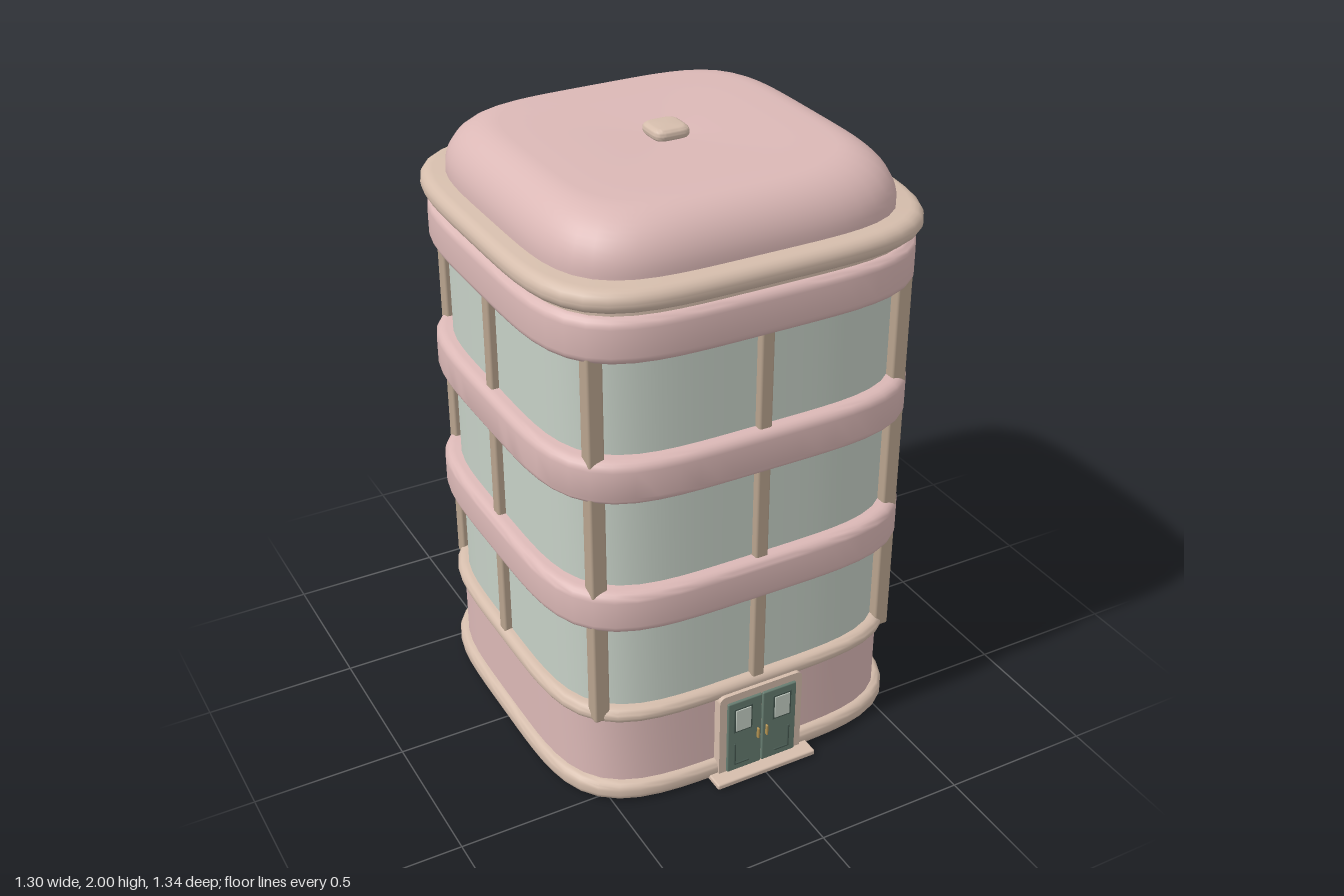
import * as THREE from 'three';
import { toCreasedNormals } from 'three/addons/utils/BufferGeometryUtils.js';
import { RoundedBoxGeometry } from 'three/addons/geometries/RoundedBoxGeometry.js';

const mat = (color) => new THREE.MeshStandardMaterial({ color });
const pink = mat(0xdbb8b6);
const cream = mat(0xd5bdac);
const bronze = mat(0xb8a38e);
const glass = mat(0xc6d0c6);
const doorGreen = mat(0x667c70);
const darkGreen = mat(0x465850);
const brass = mat(0xb09050);

const SQUARENESS = 4.4; // exponent of the soft-cornered plan

// Sweeps a [half width, height] profile around the soft square plan
function plan(name, profile, material, parent) {
  const geo = new THREE.LatheGeometry(profile.map(([r, y]) => new THREE.Vector2(r, y)), 72);
  const p = geo.attributes.position;
  for (let i = 0; i < p.count; i++) {
    const x = p.getX(i), z = p.getZ(i), r = Math.hypot(x, z);
    if (r < 1e-6) continue;
    const k = (Math.abs(x / r) ** SQUARENESS + Math.abs(z / r) ** SQUARENESS) ** (-1 / SQUARENESS);
    p.setX(i, x * k);
    p.setZ(i, z * k);
  }
  const mesh = new THREE.Mesh(toCreasedNormals(geo, 0.7), material);
  mesh.name = name;
  parent.add(mesh);
  return mesh;
}

// Closed slab profile with rounded upper and lower edges
function slab(half, y0, y1, fillet) {
  const pts = [[0, y0]];
  for (const [cy, start] of [[y0 + fillet, -Math.PI / 2], [y1 - fillet, 0]]) {
    for (let i = 0; i <= 5; i++) {
      const a = start + (i / 5) * Math.PI / 2;
      pts.push([half - fillet + fillet * Math.cos(a), cy + fillet * Math.sin(a)]);
    }
  }
  pts.push([0, y1]);
  return pts;
}

function box(name, size, pos, material, parent, radius = 0.004) {
  const mesh = new THREE.Mesh(new RoundedBoxGeometry(...size, 2, radius), material);
  mesh.name = name;
  mesh.position.set(...pos);
  parent.add(mesh);
  return mesh;
}

export function createModel() {
  const model = new THREE.Group();
  model.name = 'towerBuilding';
  const tower = new THREE.Group();
  tower.name = 'tower';
  tower.position.z = -0.02;
  model.add(tower);

  // Ground floor and its trims
  plan('baseTrim', slab(0.628, 0, 0.068, 0.026), cream, tower);
  plan('groundFloorWall', [[0.602, 0.03], [0.602, 0.34]], pink, tower);
  plan('groundFloorTrim', slab(0.622, 0.305, 0.36, 0.026), cream, tower);

  // Glazed storeys with projecting bands
  plan('windowGlass', [[0.588, 0.34], [0.588, 1.62]], glass, tower);
  for (const y of [0.665, 1.12, 1.577]) plan('floorBand', slab(0.636, y, y + 0.146, 0.03), pink, tower);

  // Window posts: one in the middle of each side, one at each corner
  const posts = new THREE.Group();
  posts.name = 'windowPosts';
  tower.add(posts);
  for (let i = 0; i < 4; i++) {
    const side = new THREE.Group();
    side.name = 'sidePosts';
    side.rotation.y = i * Math.PI / 2;
    box('middlePost', [0.045, 1.3, 0.05], [0, 0.97, 0.588], bronze, side, 0.008);
    box('cornerPost', [0.052, 1.3, 0.052], [0.518, 0.97, 0.518], bronze, side, 0.008);
    posts.add(side);
  }

  // Cornice and roof
  plan('roofNeck', [[0.612, 1.68], [0.612, 1.76]], cream, tower);
  plan('cornice', slab(0.65, 1.738, 1.812, 0.035), cream, tower);
  const roof = [[0.58, 1.79]];
  for (let i = 0; i <= 12; i++) {
    const a = (i / 12) * Math.PI / 2;
    roof.push([0.43 + 0.15 * Math.cos(a), 1.82 + 0.155 * Math.sin(a)]);
  }
  roof.push([0.3, 1.974], [0.15, 1.97], [0.06, 1.966], [0, 1.964]);
  plan('roofCap', roof, pink, tower);
  plan('roofKnob', slab(0.06, 1.96, 2, 0.018), cream, tower);

  // Entrance: rounded frame, step and a pair of doors
  const entrance = new THREE.Group();
  entrance.name = 'entrance';
  model.add(entrance);
  const w = 0.152, top = 0.328, r = 0.022;
  const arch = new THREE.Shape();
  arch.moveTo(-w, 0.01);
  arch.lineTo(w, 0.01);
  arch.lineTo(w, top - r);
  arch.absarc(w - r, top - r, r, 0, Math.PI / 2);
  arch.absarc(-w + r, top - r, r, Math.PI / 2, Math.PI);
  const frame = new THREE.Mesh(new THREE.ExtrudeGeometry(arch, { depth: 0.06, bevelEnabled: false, curveSegments: 6 }), cream);
  frame.name = 'doorFrame';
  frame.position.z = 0.555;
  entrance.add(frame);
  box('doorStep', [0.365, 0.02, 0.14], [0, 0.014, 0.595], cream, entrance, 0.006);

  for (const s of [-1, 1]) {
    const door = new THREE.Group();
    door.name = s > 0 ? 'leftDoor' : 'rightDoor';
    entrance.add(door);
    box('doorLeaf', [0.124, 0.275, 0.03], [s * 0.064, 0.163, 0.609], doorGreen, door);
    box('windowSurround', [0.068, 0.096, 0.006], [s * 0.072, 0.229, 0.624], darkGreen, door, 0.002);
    box('doorWindow', [0.056, 0.084, 0.006], [s * 0.072, 0.229, 0.6265], glass, door, 0.002);
    box('panelSide', [0.006, 0.085, 0.008], [s * 0.1, 0.093, 0.624], darkGreen, door, 0.002);
    box('panelBottom', [0.056, 0.006, 0.008], [s * 0.075, 0.052, 0.624], darkGreen, door, 0.002);
    box('doorHandle', [0.007, 0.04, 0.012], [s * 0.016, 0.15, 0.628], brass, door, 0.003);
  }
  return model;
}
